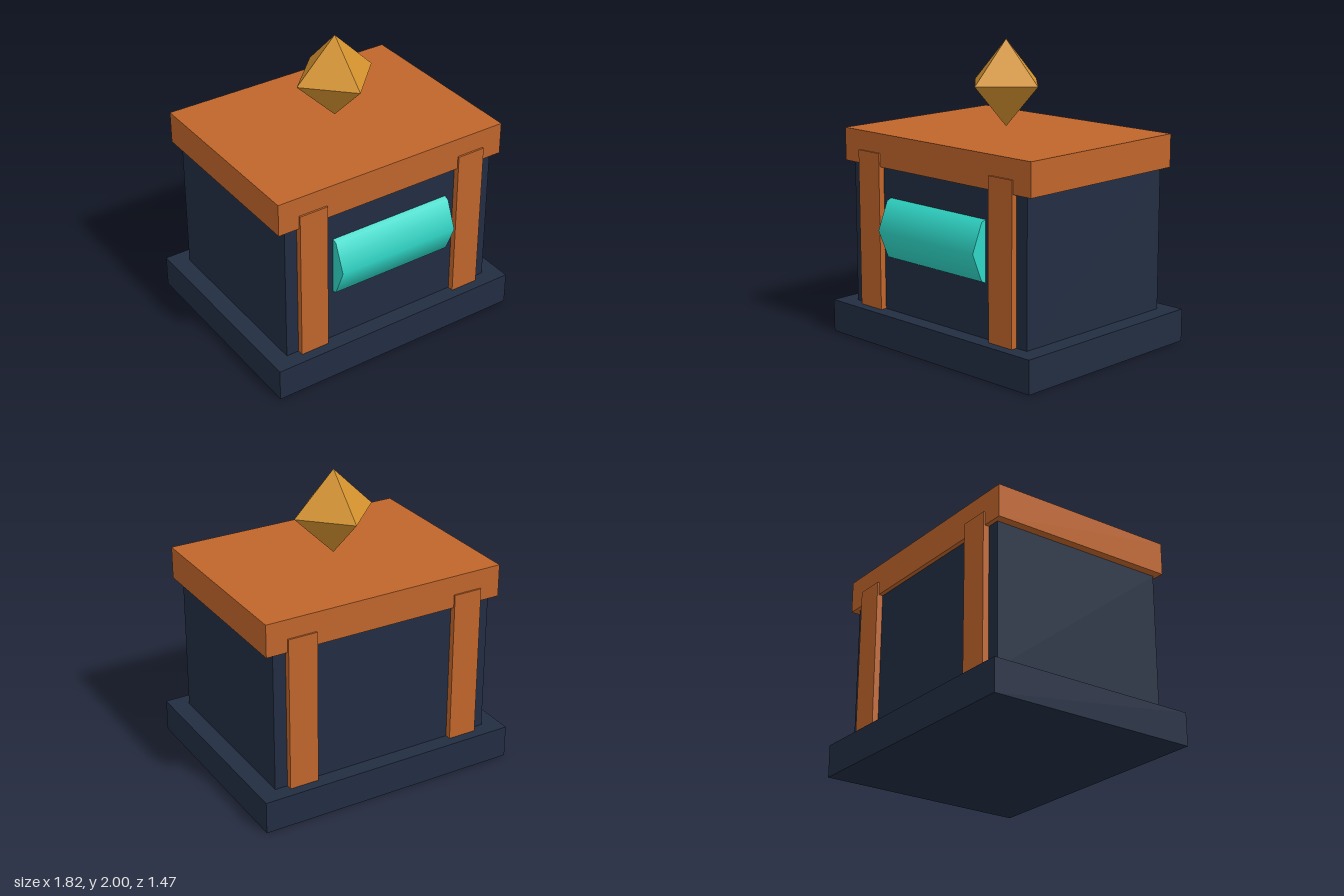
import * as THREE from 'three';

const mat = (name, color) => {
  const m = new THREE.MeshStandardMaterial({ color });
  m.name = name;
  return m;
};

export function createModel() {
  const group = new THREE.Group();
  const navy = mat('navy', 0x222d42);
  const orange = mat('orange', 0xc0652b);
  const teal = mat('teal', 0x2fd6c6);
  const gold = mat('gold', 0xd4922e);
  gold.flatShading = true;

  const add = (name, geometry, material, x, y, z) => {
    const mesh = new THREE.Mesh(geometry, material);
    mesh.name = name;
    mesh.position.set(x, y, z);
    group.add(mesh);
    return mesh;
  };
  const box = (name, material, w, y0, y1, d, x = 0, z = 0) =>
    add(name, new THREE.BoxGeometry(w, y1 - y0, d), material, x, (y0 + y1) / 2, z);

  // Stacked masses
  box('base', navy, 1.82, 0, 0.22, 1.47);
  box('body', navy, 1.575, 0.22, 1.18, 1.25);
  box('roof', orange, 1.69, 1.18, 1.4, 1.31);

  // Pilasters on the front and back
  for (const sx of [1, -1]) {
    for (const sz of [1, -1]) {
      const name = (sz > 0 ? 'front' : 'back') + (sx > 0 ? 'Left' : 'Right') + 'Pilaster';
      box(name, orange, 0.2, 0.22, 1.27, 0.08, sx * 0.6, sz * 0.627);
    }
  }

  // Eight-sided smooth roller, half sunk into the front wall
  const roller = add('frontRoller', new THREE.CylinderGeometry(0.265, 0.265, 0.87, 8), teal, 0, 0.78, 0.47);
  roller.rotation.z = Math.PI / 2;

  // Floating gem
  add('gem', new THREE.OctahedronGeometry(0.286), gold, 0, 1.714, 0);

  return group;
}
